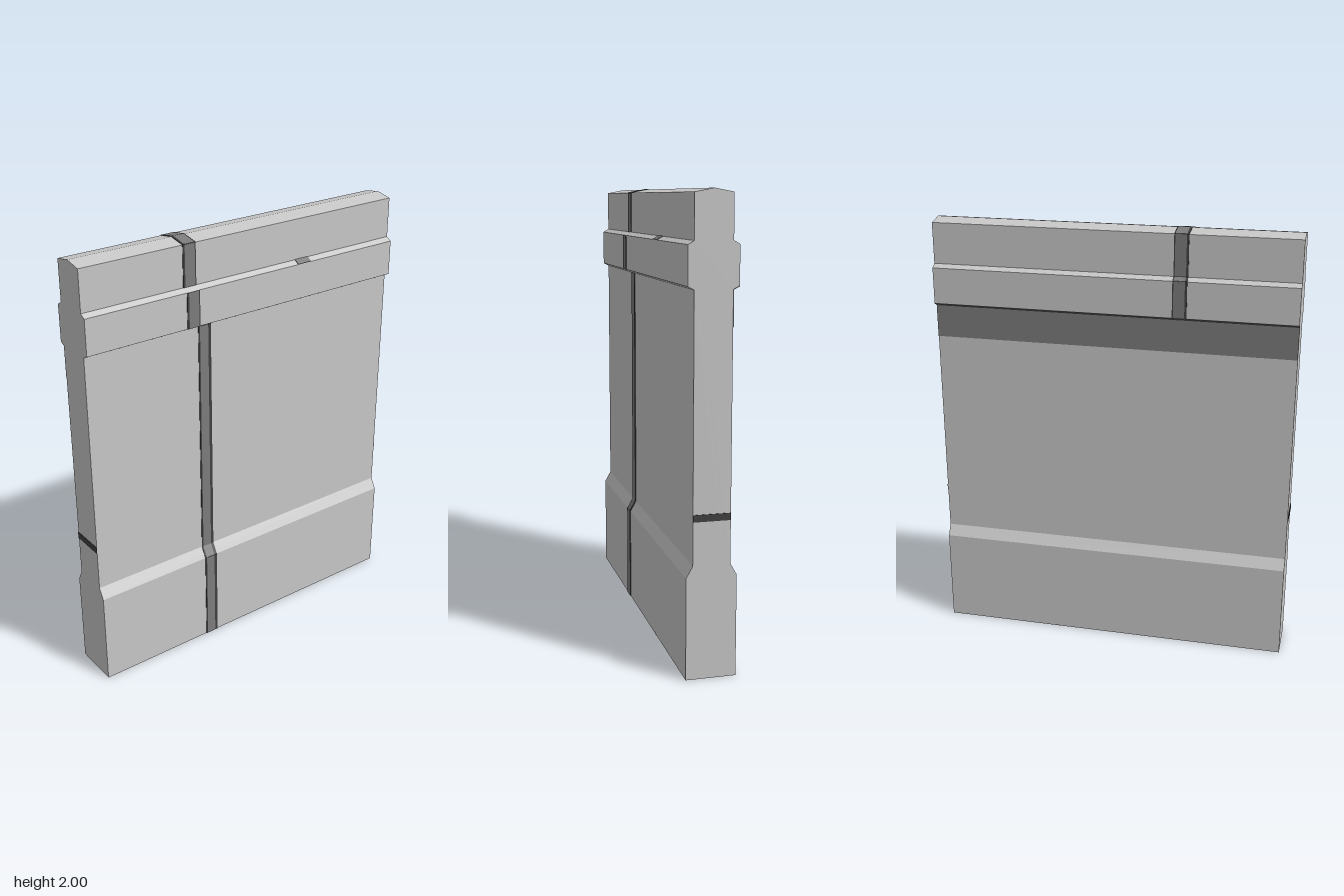
import * as THREE from 'three';

const HALF_WIDTH = 0.824;
// Half cross-section of the wall as [z, y], from the foot to the ridge
const PROFILE = [
  [0.108, 0], [0.108, 0.44], [0.08, 0.49], [0.08, 1.61], [0.106, 1.623],
  [0.106, 1.785], [0.08, 1.8], [0.08, 1.985], [0, 2],
];

export function createModel() {
  const mat = (name, color) => new THREE.MeshStandardMaterial({ name, color });
  const stone = mat('light grey stone', 0xc8c8c8);
  const seam = mat('mid grey seam', 0x7c7c7c);
  const groove = mat('dark grey groove', 0x404040);

  const model = new THREE.Group();
  model.name = 'wallPanel';

  // Wall body: mirrored profile extruded along x
  const outline = [...PROFILE, ...PROFILE.slice(0, -1).reverse().map(([z, y]) => [-z, y])];
  const shape = new THREE.Shape(outline.map(([z, y]) => new THREE.Vector2(z, y)));
  const bodyGeo = new THREE.ExtrudeGeometry(shape, { depth: HALF_WIDTH * 2, bevelEnabled: false });
  bodyGeo.translate(0, 0, -HALF_WIDTH).rotateY(Math.PI / 2);
  const body = new THREE.Mesh(bodyGeo, stone);
  body.name = 'wallBody';
  model.add(body);

  // Thin plates that follow a [z, y] path between x0 and x1
  function strip(name, path, x0, x1, material) {
    const group = new THREE.Group();
    group.name = name;
    for (let i = 0; i + 1 < path.length; i++) {
      const [za, ya] = path[i], [zb, yb] = path[i + 1];
      const length = Math.hypot(zb - za, yb - ya);
      const plate = new THREE.Mesh(new THREE.BoxGeometry(x1 - x0, 0.005, length), material);
      plate.name = name + 'Plate';
      plate.position.set((x0 + x1) / 2, (ya + yb) / 2, (za + zb) / 2);
      plate.rotation.x = -Math.atan2(yb - ya, zb - za);
      group.add(plate);
    }
    model.add(group);
  }

  // A seam with a dark line along each edge
  function edgedSeam(name, path, x0, x1, left, right) {
    strip(name, path, x0 + left, x1 - right, seam);
    strip(name + 'LeftEdge', path, x0, x0 + left, groove);
    strip(name + 'RightEdge', path, x1 - right, x1, groove);
  }

  const back = PROFILE.map(([z, y]) => [-z, y]);
  edgedSeam('lowerSeam', PROFILE.slice(0, 4), -0.265, -0.2, 0.008, 0.014);
  edgedSeam('collarSeam', PROFILE.slice(4, 6), -0.337, -0.272, 0.01, 0.005);
  edgedSeam('capSeam', [...PROFILE.slice(6), ...back.slice(4, -1).reverse()],
    -0.337, -0.272, 0.01, 0.005);

  // Offset seams on the front ledge and under the foot
  strip('ledgeSeam', PROFILE.slice(5, 7), 0.262, 0.335, seam);
  strip('footSeam', [[-0.108, 0.0025], [0.108, 0.0025]], 0.262, 0.335, seam);

  // Dark band below the collar on the back
  strip('backBand', [[-0.08, 1.46], [-0.08, 1.61], [-0.106, 1.623]], -HALF_WIDTH, HALF_WIDTH, seam);

  // Dark line across both end faces
  for (const side of [-1, 1]) {
    const line = new THREE.Mesh(new THREE.BoxGeometry(0.005, 0.03, 0.16), groove);
    line.name = side > 0 ? 'leftEndLine' : 'rightEndLine';
    line.position.set(side * HALF_WIDTH, 0.69, 0);
    model.add(line);
  }
  return model;
}
